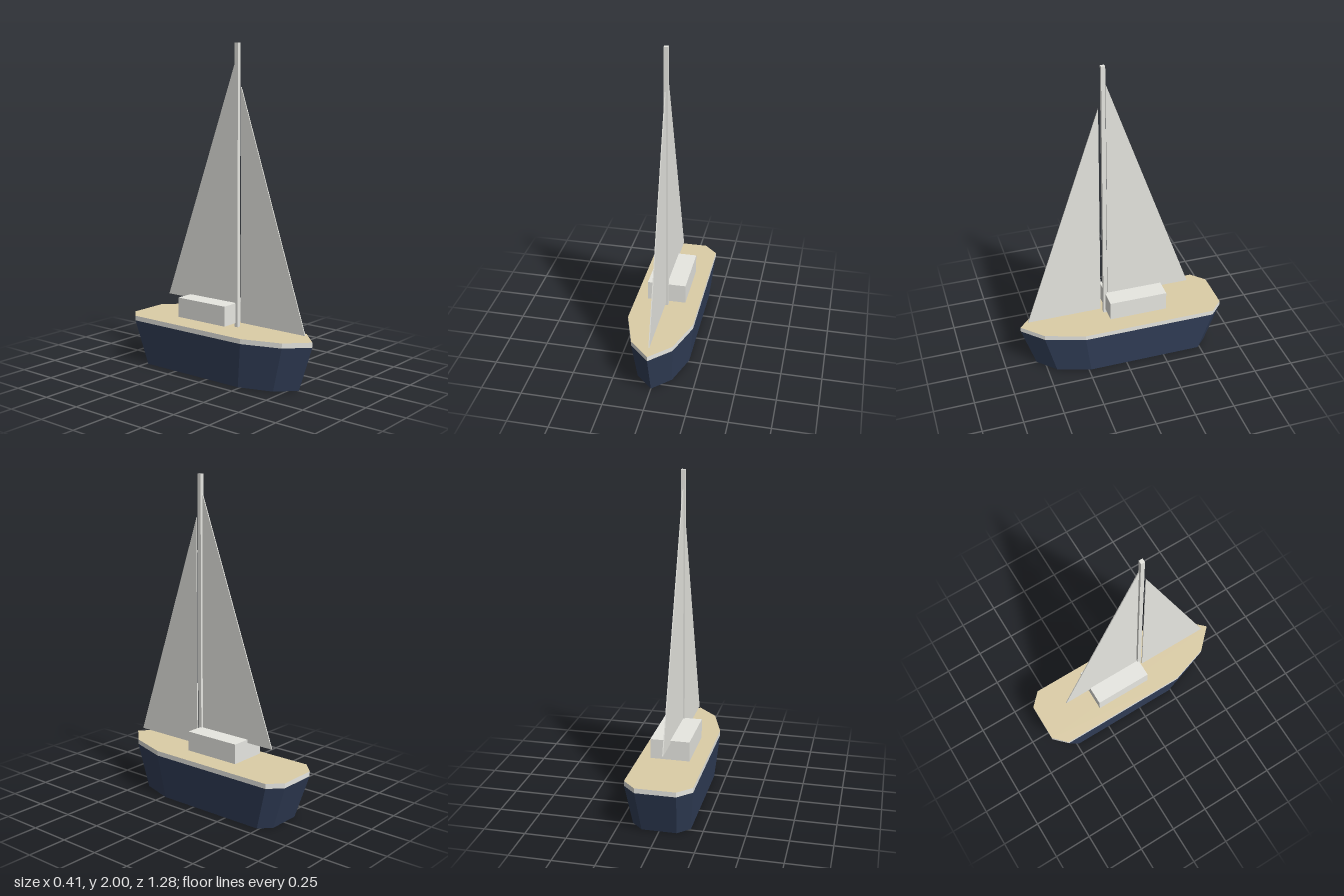
import * as THREE from 'three';

const material = (name, color) => {
  const m = new THREE.MeshStandardMaterial({ color });
  m.name = name;
  return m;
};

// Half of the deck outline, stern to bow, as [x, z]
const HALF = [[0.122, -0.645], [0.203, -0.566], [0.203, 0.274], [0.125, 0.515]];
const BOW = [0, 0.64];

// Horizontal slab with the boat's outline, standing on y = 0
function slab(height) {
  const mirrored = HALF.map(([x, z]) => [-x, z]).reverse();
  const points = [...HALF, BOW, ...mirrored].map(([x, z]) => new THREE.Vector2(x, -z));
  const g = new THREE.ExtrudeGeometry(new THREE.Shape(points), { depth: height, bevelEnabled: false });
  return g.rotateX(-Math.PI / 2);
}

// Thin upright sheet in the centre plane, from [z, y] corners
function sheet(corners, thickness) {
  const shape = new THREE.Shape(corners.map(([z, y]) => new THREE.Vector2(z, y)));
  const g = new THREE.ExtrudeGeometry(shape, { depth: thickness, bevelEnabled: false });
  return g.translate(0, 0, -thickness / 2).rotateY(-Math.PI / 2);
}

export function createModel() {
  const navy = material('hull navy', 0x323f59);
  const white = material('off white', 0xf4f4ee);
  const tan = material('deck tan', 0xdccda6);

  const boat = new THREE.Group();
  boat.name = 'sailboat';
  const add = (name, geometry, mat, x = 0, y = 0, z = 0) => {
    const mesh = new THREE.Mesh(geometry, mat);
    mesh.name = name;
    mesh.position.set(x, y, z);
    boat.add(mesh);
  };

  // Hull: outline slab drawn in towards the keel
  const hull = slab(0.275);
  const p = hull.attributes.position;
  for (let i = 0; i < p.count; i++) {
    if (p.getY(i) < 0.1) p.setXYZ(i, p.getX(i) * 0.86, 0, p.getZ(i) * 0.86);
  }
  hull.computeVertexNormals();
  add('hull', hull, navy);

  // Deck: tan top with a pale rim
  add('deck', slab(0.03), [tan, white], 0, 0.275, 0);

  // Cabin, raised slightly clear of the deck
  add('cabin', new THREE.BoxGeometry(0.238, 0.122, 0.367), white, 0, 0.39, -0.094);

  // Mast
  add('mast', new THREE.BoxGeometry(0.024, 1.695, 0.024), white, 0, 1.1525, 0.091);

  // Sails
  add('mainSail', sheet([[0.074, 0.43], [0.074, 1.885], [-0.458, 0.43]], 0.006), white);
  add('foreSail', sheet([[0.12, 0.335], [0.59, 0.335], [0.12, 1.745]], 0.006), white);

  return boat;
}
